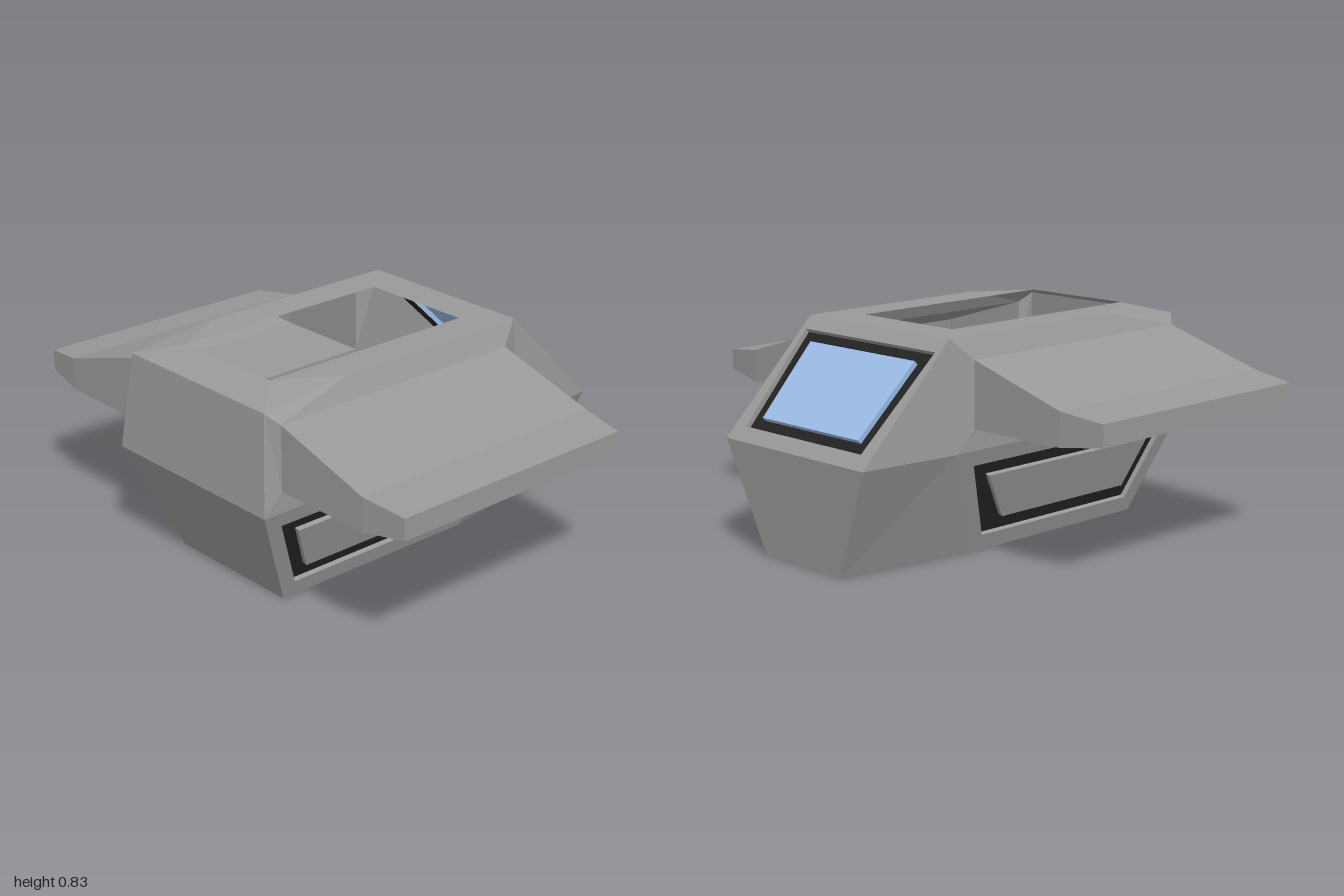
import * as THREE from 'three';

const material = (name, color) => {
  const m = new THREE.MeshStandardMaterial({ color, side: THREE.DoubleSide });
  m.name = name;
  return m;
};

const P = (x, y, z) => new THREE.Vector3(x, y, z);

// Fan of flat triangles for each polygon (corners counter-clockwise from outside)
function facets(polygons) {
  const points = [];
  for (const p of polygons) {
    for (let i = 1; i < p.length - 1; i++) {
      const [a, b, c] = [p[0], p[i], p[i + 1]];
      const area = b.clone().sub(a).cross(c.clone().sub(a)).length();
      if (area > 1e-7) points.push(a, b, c);
    }
  }
  const g = new THREE.BufferGeometry().setFromPoints(points);
  g.computeVertexNormals();
  return g;
}

// Band of quads joining two loops of equal length
const band = (a, b) => a.map((p, i) => {
  const j = (i + 1) % a.length;
  return [p, a[j], b[j], b[i]];
});

// Mirrored polygons across x = 0, with their order reversed
const mirror = (polys) => polys.map((p) => p.map((v) => P(-v.x, v.y, v.z)).reverse());

export function createModel() {
  const hullGrey = material('hull grey', 0x999999);
  const frameBlack = material('frame black', 0x222222);
  const glassBlue = material('glass blue', 0x9dbde8);
  const model = new THREE.Group();

  const add = (name, polys, mat) => {
    const mesh = new THREE.Mesh(facets(polys), mat);
    mesh.name = name;
    model.add(mesh);
  };
  const addPair = (name, polys, mat) => {
    add('left' + name, polys, mat);
    add('right' + name, mirror(polys), mat);
  };

  // Sunken frame around a raised pane, set into a flat face
  const windowParts = (face, outer, inner, depth) => {
    const n = face[1].clone().sub(face[0]).cross(face[2].clone().sub(face[0])).normalize();
    const sink = (loop) => loop.map((p) => p.clone().addScaledVector(n, -depth));
    return {
      surround: [...band(face, outer), ...band(outer, sink(outer))],
      frame: band(sink(outer), sink(inner)),
      pane: [...band(sink(inner), inner), inner],
    };
  };

  // Hull corners on the +x side
  const topFront = P(0.375, 0.79, 0.79), topMid = P(0.375, 0.83, 0.42), topBack = P(0.375, 0.83, -0.42);
  const beltFront = P(0.415, 0.42, 0.83), beltMid = P(0.415, 0.42, -0.42), beltBack = P(0.375, 0.42, -0.83);
  const baseFront = P(0.29, 0, 0.65), baseMid = P(0.29, 0, -0.23), baseBack = P(0.205, 0, -0.79);
  const m = (v) => P(-v.x, v.y, v.z);

  // Front, rear and floor plates
  add('frontPlates', [
    [m(beltFront), beltFront, topFront, m(topFront)],
    [m(baseFront), baseFront, beltFront, m(beltFront)],
  ], hullGrey);
  add('rearPlate', [[baseBack, m(baseBack), m(beltBack), beltBack]], hullGrey);
  add('floor', [[baseFront, m(baseFront), m(baseMid), m(baseBack), baseBack, baseMid]], hullGrey);

  // Roof rim around the open hatch
  const hatch = (sx, z) => P(sx * 0.235, 0.83, z);
  add('roofRim', band(
    [m(topFront), topFront, topMid, topBack, m(topBack), m(topMid)],
    [hatch(-1, 0.65), hatch(1, 0.65), hatch(1, 0.65), hatch(1, -0.27), hatch(-1, -0.27), hatch(-1, 0.65)],
  ), hullGrey);

  // Tapered rear flanks
  addPair('RearFlank', [
    [beltMid, beltBack, topBack],
    [baseMid, baseBack, beltBack, beltMid],
  ], hullGrey);

  // Hollow wings, opening into the hull
  const wingLoop = (x, low, high, front, back) =>
    [P(x, low, front), P(x, low, back), P(x, high, back), P(x, high, front)];
  const root = wingLoop(0.415, 0.5, 0.75, 0.75, -0.335);
  const bend = wingLoop(0.825, 0.5, 0.627, 0.75, -0.335);
  const tip = wingLoop(1, 0.523, 0.605, 0.725, -0.31);
  addPair('WingCollar', band(
    [beltFront, beltMid, topBack, topMid, topFront],
    [root[0], root[1], root[2], root[3], root[3]],
  ), hullGrey);
  addPair('Wing', [...band(root, bend), ...band(bend, tip), tip], hullGrey);

  // Lower side panels with dark frames
  const side = (y, z) => P(0.29 + 0.125 * y / 0.42, y, z);
  const panel = windowParts(
    [baseFront, baseMid, beltMid, beltFront],
    [side(0.062, 0.61), side(0.062, -0.19), side(0.36, -0.32), side(0.36, 0.74)],
    [side(0.12, 0.57), side(0.12, -0.1), side(0.305, -0.225), side(0.305, 0.65)],
    0.02,
  );
  addPair('SidePanelSurround', panel.surround, hullGrey);
  addPair('SidePanelFrame', panel.frame, frameBlack);
  addPair('SidePanel', panel.pane, hullGrey);

  // Sloping rear window
  const slope = (x, z) => P(x, 1.25 + z, z);
  const rear = windowParts(
    [beltBack, m(beltBack), m(topBack), topBack],
    [slope(0.316, -0.785), slope(-0.316, -0.785), slope(-0.35, -0.465), slope(0.35, -0.465)],
    [slope(0.262, -0.75), slope(-0.262, -0.75), slope(-0.283, -0.5), slope(0.283, -0.5)],
    0.02,
  );
  add('rearWindowSurround', rear.surround, hullGrey);
  add('rearWindowFrame', rear.frame, frameBlack);
  add('rearWindow', rear.pane, glassBlue);

  return model;
}
